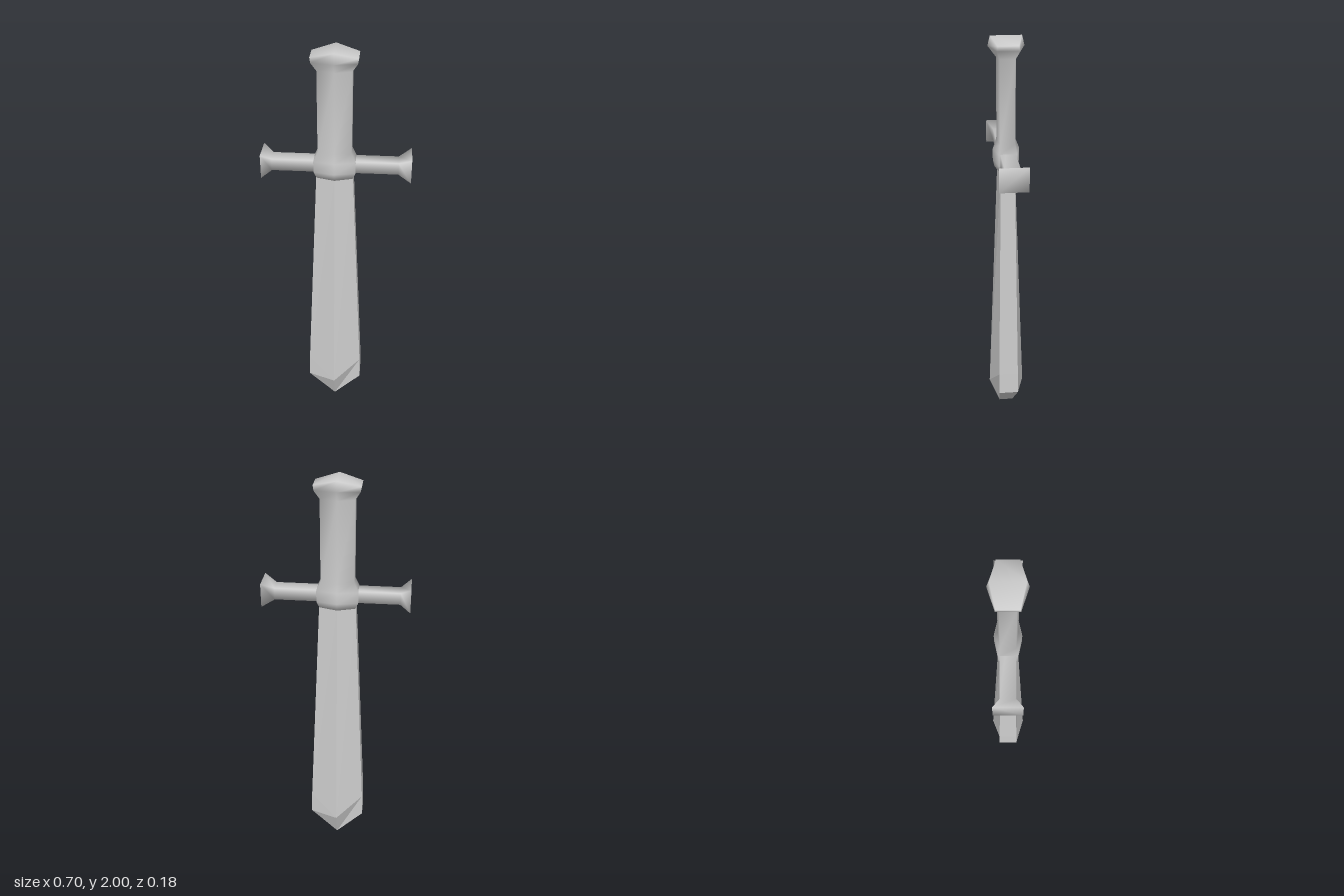
import * as THREE from 'three';

// Skin a list of equal-sized point rings and close both ends.
function loft(name, rings, flat) {
  const n = rings[0].length, index = [], last = (rings.length - 1) * n;
  for (let r = 0; r < rings.length - 1; r++) {
    for (let i = 0; i < n; i++) {
      const a = r * n + i, b = r * n + (i + 1) % n;
      index.push(a, b, b + n, a, b + n, a + n);
    }
  }
  for (let i = 1; i < n - 1; i++) {
    index.push(0, i + 1, i, last, last + i, last + i + 1);
  }
  let geo = new THREE.BufferGeometry();
  geo.setAttribute('position', new THREE.Float32BufferAttribute(rings.flat(2), 3));
  geo.setIndex(index);
  if (flat) geo = geo.toNonIndexed();
  geo.computeVertexNormals();
  const mesh = new THREE.Mesh(geo, new THREE.MeshStandardMaterial({ color: 0xcccccc, flatShading: flat }));
  mesh.name = name;
  return mesh;
}

const CX = -0.007; // blade and grip sit slightly off the guard's middle

// Six-sided section: ridges front and back, narrow flat edges at the sides.
function hex(ridgeY, ridgeZ, edgeY, edgeX, edgeZ) {
  return [
    [CX, ridgeY, ridgeZ], [CX + edgeX, edgeY, edgeZ], [CX + edgeX, edgeY, -edgeZ],
    [CX, ridgeY, -ridgeZ], [CX - edgeX, edgeY, -edgeZ], [CX - edgeX, edgeY, edgeZ],
  ];
}

// Rectangular section of the crossguard.
function rect(x, y0, y1, z) {
  return [[x, y0, z], [x, y0, -z], [x, y1, -z], [x, y1, z]];
}

export function createModel() {
  const group = new THREE.Group();
  group.name = 'sword';

  // Blade: chisel point, bevelled shoulder, taper up to the guard
  group.add(loft('blade', [
    hex(0, 0.036, 0.15, 0.138, 0.05),
    hex(0.14, 0.09, 0.27, 0.136, 0.049),
    hex(1.4, 0.042, 1.4, 0.086, 0.033),
  ], true));

  // Hilt: collar, grip and flared pommel in one smooth skin
  group.add(loft('hilt', [
    hex(1.385, 0.055, 1.392, 0.084, 0.042),
    hex(1.42, 0.063, 1.42, 0.098, 0.042),
    hex(1.475, 0.063, 1.475, 0.098, 0.042),
    hex(1.52, 0.045, 1.52, 0.078, 0.035),
    hex(1.905, 0.045, 1.91, 0.078, 0.035),
    hex(1.955, 0.083, 1.95, 0.102, 0.05),
    hex(2, 0.072, 1.973, 0.106, 0.047),
  ], false));

  // Crossguard: straight bar with flared square ends
  group.add(loft('crossguard', [
    rect(-0.348, 1.393, 1.508, 0.067),
    rect(-0.3, 1.42, 1.477, 0.036),
    rect(0.288, 1.42, 1.477, 0.036),
    rect(0.348, 1.393, 1.508, 0.067),
  ], false));

  return group;
}
